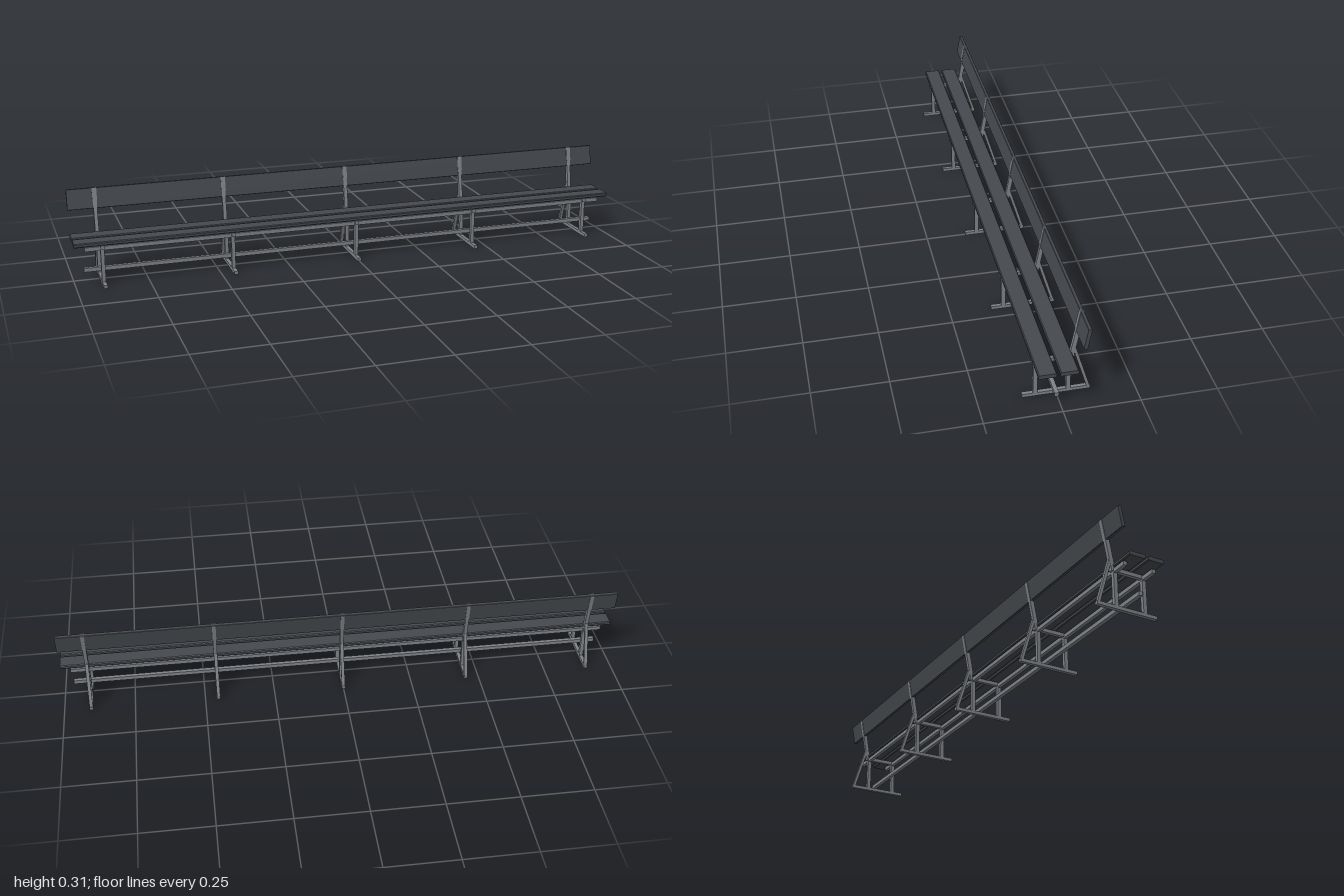
import * as THREE from 'three';

export function createModel() {
  const bench = new THREE.Group();
  bench.name = 'bench';
  const steel = new THREE.MeshStandardMaterial({ color: 0x808489 });
  steel.name = 'grey steel';
  const slat = new THREE.MeshStandardMaterial({ color: 0x464a4f });
  slat.name = 'dark slat';

  const add = (parent, name, geometry, material, x, y, z) => {
    const mesh = new THREE.Mesh(geometry, material);
    mesh.name = name;
    mesh.position.set(x, y, z);
    parent.add(mesh);
    return mesh;
  };
  const box = (parent, name, size, pos, material = steel) =>
    add(parent, name, new THREE.BoxGeometry(...size), material, ...pos);

  // Board with bevelled long edges, running along x and centred on its origin
  const plank = (length, height, depth, c) => {
    const h = height / 2, d = depth / 2;
    const shape = new THREE.Shape([
      [-d + c, -h], [d - c, -h], [d, -h + c], [d, h - c],
      [d - c, h], [-d + c, h], [-d, h - c], [-d, -h + c],
    ].map(([a, b]) => new THREE.Vector2(a, b)));
    return new THREE.ExtrudeGeometry(shape, { depth: length, bevelEnabled: false })
      .translate(0, 0, -length / 2).rotateY(Math.PI / 2);
  };

  // Square bar between two points of the side plane, given as [z, y]
  const bar = (parent, name, a, b, width, depth) => {
    const dz = b[0] - a[0], dy = b[1] - a[1];
    const mesh = box(parent, name, [width, Math.hypot(dz, dy), depth],
      [0, (a[1] + b[1]) / 2, (a[0] + b[0]) / 2]);
    mesh.rotation.x = Math.atan2(dz, dy);
    return mesh;
  };

  // Seat boards
  add(bench, 'frontSeatBoard', plank(2, 0.014, 0.058, 0.003), slat, 0, 0.15, 0.052);
  add(bench, 'rearSeatBoard', plank(2, 0.014, 0.058, 0.003), slat, 0, 0.15, -0.017);

  // Leaning backrest board
  const lean = -0.175;
  const back = new THREE.Group();
  back.name = 'backrest';
  back.position.set(0, 0.271, -0.069);
  back.rotation.x = lean;
  bench.add(back);
  add(back, 'backBoard', plank(2, 0.072, 0.012, 0.001), slat, 0, 0, 0);

  // Rails joining the frames
  box(bench, 'frontSeatRail', [1.93, 0.014, 0.013], [0, 0.132, 0.066]);
  box(bench, 'rearSeatRail', [1.93, 0.014, 0.013], [0, 0.132, -0.039]);
  box(bench, 'footRail', [1.93, 0.014, 0.014], [0, 0.041, 0.012]);

  // Five identical support frames
  for (const x of [-0.905, -0.4525, 0, 0.4525, 0.905]) {
    const frame = new THREE.Group();
    frame.name = 'supportFrame';
    frame.position.x = x;
    bench.add(frame);
    box(frame, 'footBar', [0.013, 0.012, 0.219], [0, 0.006, 0]);
    box(frame, 'frontLeg', [0.013, 0.118, 0.014], [0, 0.071, 0.067]);
    box(frame, 'rearLeg', [0.013, 0.118, 0.014], [0, 0.071, -0.039]);
    box(frame, 'seatBearer', [0.013, 0.013, 0.134], [0, 0.1365, 0.014]);
    bar(frame, 'backPost', [-0.047, 0.143], [-0.0755, 0.305], 0.013, 0.0145);
    bar(frame, 'rearBrace', [-0.056, 0.166], [-0.104, 0.008], 0.012, 0.01);

    // Clamp plate on the face of the back board
    box(back, 'clampPlate', [0.016, 0.05, 0.003], [x, 0.0115, 0.006]);
  }
  return bench;
}
